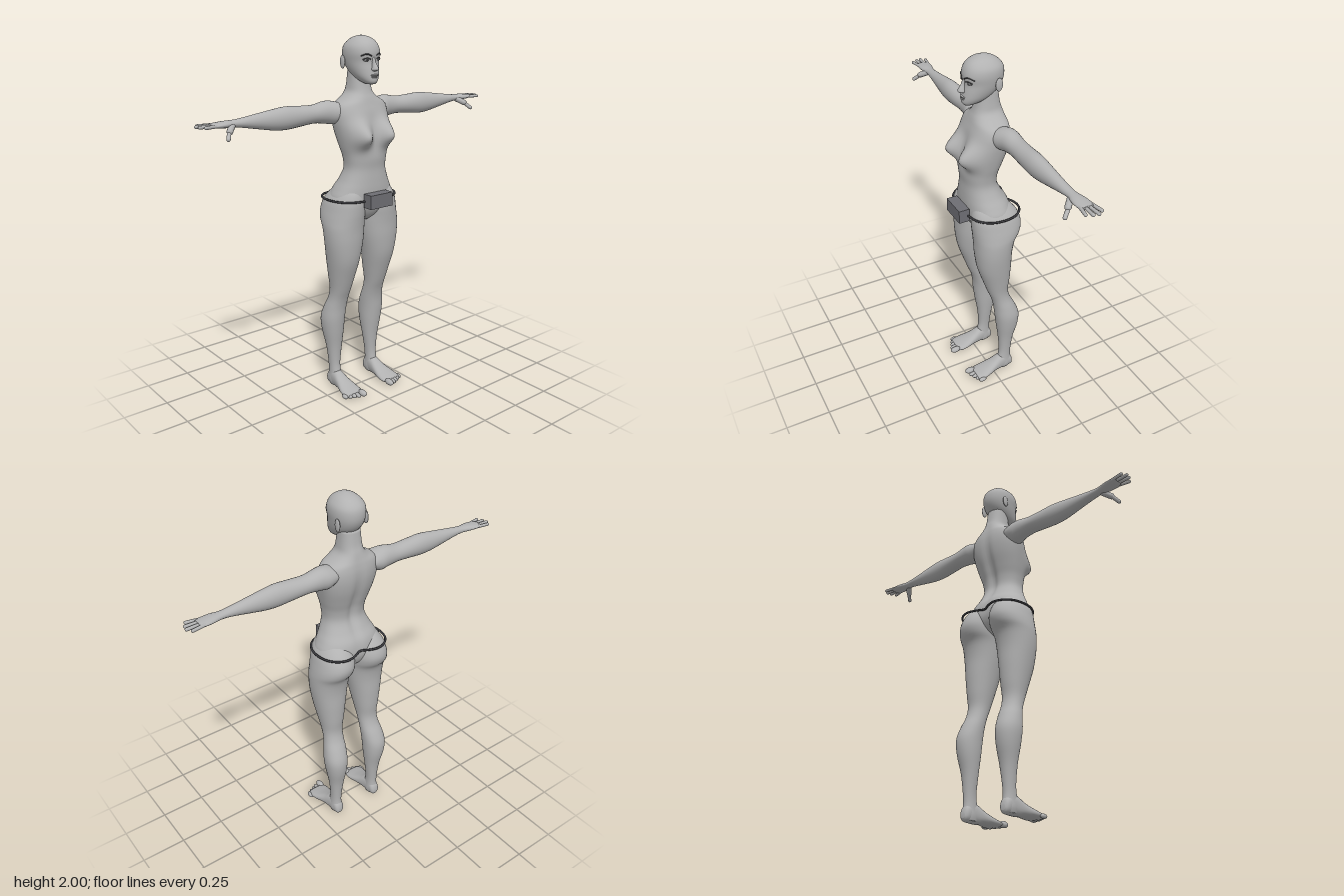
import * as THREE from 'three';

const mat = (name, color, side = THREE.FrontSide) => {
  const m = new THREE.MeshStandardMaterial({ color, side });
  m.name = name;
  return m;
};

// Closed loft through ellipse-like rings; row = [t, uMin, uMax, vMin, vMax].
// The axis sets which coordinates t, u and v stand for.
const AXES = { x: [0, 2, 1], y: [1, 0, 2], z: [2, 1, 0] };
function loft(rows, axis, { seg = 28, sub = 4, e = 1, rule = null } = {}) {
  const [T, U, V] = AXES[axis], pos = [], idx = [];
  const rings = [];
  for (let i = 0; i < rows.length - 1; i++) {
    const a = rows[Math.max(0, i - 1)], b = rows[i], c = rows[i + 1], d = rows[Math.min(rows.length - 1, i + 2)];
    for (let s = 0; s < sub; s++) {
      const t = s / sub;
      rings.push(b.map((_, k) => 0.5 * (2 * b[k] + (c[k] - a[k]) * t
        + (2 * a[k] - 5 * b[k] + 4 * c[k] - d[k]) * t * t + (3 * b[k] - a[k] - 3 * c[k] + d[k]) * t ** 3)));
    }
  }
  rings.push(rows[rows.length - 1]);
  const add = (t, u, v) => {
    const p = [0, 0, 0];
    p[T] = t; p[U] = u; p[V] = v;
    if (rule) rule(p);
    pos.push(...p);
  };
  const pw = (n) => Math.sign(n) * Math.abs(n) ** e;
  for (const [t, u0, u1, v0, v1] of rings) {
    for (let j = 0; j < seg; j++) {
      const a = (j / seg) * Math.PI * 2;
      add(t, (u0 + u1) / 2 + (u1 - u0) / 2 * pw(Math.cos(a)), (v0 + v1) / 2 + (v1 - v0) / 2 * pw(Math.sin(a)));
    }
  }
  for (let i = 0; i < rings.length - 1; i++) {
    for (let j = 0; j < seg; j++) {
      const p = i * seg + j, q = i * seg + (j + 1) % seg;
      idx.push(p, p + seg, q, q, p + seg, q + seg);
    }
  }
  // end caps
  const n = rings.length, first = rings[0], last = rings[n - 1];
  for (const r of [first, last]) add(r[0], (r[1] + r[2]) / 2, (r[3] + r[4]) / 2);
  for (let j = 0; j < seg; j++) {
    const k = (j + 1) % seg;
    idx.push(n * seg, j, k, n * seg + 1, (n - 1) * seg + k, (n - 1) * seg + j);
  }
  const g = new THREE.BufferGeometry();
  g.setAttribute('position', new THREE.Float32BufferAttribute(pos, 3));
  g.setIndex(idx);
  g.computeVertexNormals();
  return g;
}

// Mirror a geometry across x = 0, keeping faces outward
function mirrored(g) {
  const m = g.clone();
  for (const name of ['position', 'normal']) {
    const a = m.attributes[name];
    for (let i = 0; i < a.count; i++) a.setX(i, -a.getX(i));
  }
  const ix = m.index;
  for (let i = 0; i < ix.count; i += 3) {
    const t = ix.getX(i);
    ix.setX(i, ix.getX(i + 1));
    ix.setX(i + 1, t);
  }
  return m;
}

const blob = (x, y, z, rx, ry, rz) => new THREE.SphereGeometry(1, 20, 14).scale(rx, ry, rz).translate(x, y, z);
const vecs = (pts) => pts.map((p) => new THREE.Vector3(...p));
const tube = (pts, r) => new THREE.TubeGeometry(new THREE.CatmullRomCurve3(vecs(pts)), 16, r, 8);
function capsule(a, b, r) {
  const [p, q] = vecs([a, b]), d = q.clone().sub(p);
  const rot = new THREE.Quaternion().setFromUnitVectors(new THREE.Vector3(0, 1, 0), d.clone().normalize());
  return new THREE.CapsuleGeometry(r, d.length() - r, 5, 12).applyQuaternion(rot).translate(...p.add(q).multiplyScalar(0.5).toArray());
}
const bump = (d, s) => Math.exp(-((d / s) ** 2));

export function createModel() {
  const body = mat('body grey', 0xb2b2b2);
  const dark = mat('belt dark grey', 0x3a3a3e);
  const boxGrey = mat('box grey', 0x6e6e73);
  const hair = mat('brow grey', 0x48484a);
  const eyeGrey = mat('eye grey', 0x8c8c8c);

  const root = new THREE.Group();
  root.name = 'figure';
  const put = (name, g, m = body) => {
    const mesh = new THREE.Mesh(g, m);
    mesh.name = name;
    root.add(mesh);
  };
  const pair = (name, g, m) => {
    put(name + 'Left', g, m);
    put(name + 'Right', mirrored(g), m);
  };
  const sym = (rows) => rows.map(([t, w, a, b]) => [t, -w, w, a, b]);

  // Torso and neck, with chest and spine shaped by a rule
  put('torso', loft(sym([
    [1.015, .03, -.05, .04], [1.05, .09, -.1, .08], [1.1, .165, -.125, .105], [1.15, .188, -.128, .113],
    [1.2, .168, -.118, .116], [1.25, .141, -.088, .115], [1.31, .12, -.062, .113], [1.37, .124, -.066, .118],
    [1.43, .138, -.085, .112], [1.5, .153, -.108, .1], [1.56, .163, -.12, .092], [1.61, .164, -.122, .084],
    [1.65, .148, -.117, .072], [1.68, .1, -.11, .062], [1.71, .069, -.102, .05], [1.75, .06, -.09, .04],
    [1.82, .055, -.08, .03],
  ]), 'y', {
    seg: 72, sub: 5, e: 0.86,
    rule: (p) => {
      const [x, y, z] = p;
      if (z > 0) {
        const k = Math.min(1, z / 0.05);
        p[2] += 0.082 * k * bump(Math.abs(x) - 0.083, 0.056) * bump(y - 1.49, y < 1.49 ? 0.058 : 0.07);
      } else {
        p[2] += 0.018 * Math.min(1, -z / 0.05) * bump(x, 0.025) * bump(y - 1.4, 0.2);
      }
    },
  }));

  // Legs with hips and seat
  pair('leg', loft([
    [.01, .108, .162, -.115, -.035], [.04, .103, .169, -.125, -.03], [.09, .105, .166, -.118, -.04],
    [.15, .103, .167, -.12, -.048], [.25, .09, .178, -.132, -.042], [.35, .078, .197, -.155, -.028],
    [.43, .073, .205, -.159, -.018], [.5, .07, .196, -.135, -.011], [.56, .069, .184, -.106, .003],
    [.62, .065, .183, -.093, .026], [.7, .052, .195, -.1, .054], [.8, .035, .212, -.105, .086],
    [.9, .018, .226, -.107, .1], [.98, .009, .23, -.122, .104], [1.03, .004, .226, -.155, .108],
    [1.08, .002, .216, -.166, .112], [1.14, .008, .199, -.145, .112], [1.19, .03, .165, -.1, .095],
    [1.215, .06, .13, -.06, .06],
  ], 'y', { seg: 36, e: 0.93 }));

  // Feet and toes
  pair('foot', loft([
    [-.13, .02, .045, .122, .148], [-.118, .004, .08, .108, .163], [-.08, 0, .11, .104, .168],
    [-.04, 0, .1, .1, .172], [0, .004, .076, .093, .18], [.05, .003, .053, .083, .195],
    [.09, .003, .04, .081, .2], [.12, .008, .031, .088, .192],
  ], 'z', { e: 0.9 }));
  for (let i = 0; i < 5; i++) {
    const r = i ? 0.0125 : 0.018;
    pair('toe' + (i + 1), blob(.101 + (i ? .008 + .0225 * i : 0), .004 + r, .135 - .009 * i, r, r, .032 - .002 * i));
  }

  // Arms down to the palms
  pair('arm', loft([
    [.1, -.095, .03, 1.575, 1.65], [.16, -.108, .02, 1.548, 1.668], [.21, -.105, .005, 1.554, 1.671],
    [.28, -.1, -.002, 1.562, 1.658], [.36, -.098, 0, 1.556, 1.66], [.45, -.096, 0, 1.548, 1.665],
    [.52, -.092, -.006, 1.552, 1.658], [.6, -.085, -.015, 1.566, 1.647], [.7, -.078, -.025, 1.585, 1.633],
    [.75, -.078, -.028, 1.591, 1.628], [.8, -.09, -.018, 1.593, 1.627], [.85, -.097, -.018, 1.597, 1.622],
    [.872, -.092, -.025, 1.602, 1.619],
  ], 'x', { seg: 28 }));

  // Fingers and thumbs
  [[.92, -.098], [.937, -.072], [.932, -.045], [.915, -.016]].forEach(([tip, z], i) =>
    pair('finger' + (i + 1), capsule([.845, 1.61, -.086 + i * .019], [tip, 1.61, z], .0085)));
  pair('thumb', capsule([.782, 1.594, -.025], [.82, 1.548, .026], .0105));
  pair('thumbBase', capsule([.755, 1.605, -.045], [.797, 1.578, -.002], .016));

  // Bald head
  put('head', loft(sym([
    [1.756, .022, .045, .102], [1.77, .041, .005, .112], [1.795, .06, -.04, .112], [1.83, .074, -.082, .107],
    [1.87, .083, -.105, .1], [1.91, .088, -.111, .105], [1.945, .083, -.104, .097], [1.972, .064, -.08, .078],
    [1.99, .04, -.048, .048], [2, .008, -.01, .012],
  ]), 'y', { seg: 40, e: 0.93 }));

  // Face and ears
  put('nose', loft(sym([
    [1.823, .009, .09, .115], [1.831, .018, .088, .133], [1.845, .014, .088, .131], [1.865, .009, .086, .118],
    [1.89, .009, .085, .106], [1.9, .005, .085, .1],
  ]), 'y', { seg: 16 }));
  put('upperLip', blob(0, 1.803, .108, .024, .005, .009));
  put('lowerLip', blob(0, 1.793, .108, .02, .006, .01));
  put('mouthLine', tube([[-.022, 1.798, .108], [0, 1.798, .1165], [.022, 1.798, .108]], .0012), hair);
  pair('eye', blob(.037, 1.88, .084, .017, .008, .013), eyeGrey);
  pair('iris', blob(.037, 1.88, .0955, .006, .0065, .003), hair);
  pair('eyelash', tube([[.018, 1.883, .1], [.038, 1.89, .0965], [.058, 1.883, .082]], .0025), hair);
  pair('eyebrow', tube([[.014, 1.9, .104], [.04, 1.91, .097], [.066, 1.9, .074]], .0032), hair);
  pair('ear', blob(.086, 1.865, -.012, .008, .035, .02).rotateX(-0.02));

  // Belt following the hips, and the box at its front
  const half = [[.08, .122], [.15, .1], [.195, .045], [.208, -.03], [.19, -.105], [.145, -.15], [.095, -.163], [.045, -.15]];
  const loop = [[0, .12], ...half, [0, -.13], ...half.slice().reverse().map(([x, z]) => [-x, z])];
  const path = new THREE.CatmullRomCurve3(vecs(loop.map(([x, z]) => [x, 1.145, z])), true);
  put('belt', new THREE.TubeGeometry(path, 120, .006, 8, true), dark);
  put('beltBox', new THREE.BoxGeometry(.15, .075, .06).translate(0, 1.147, .145), boxGrey);

  return root;
}
